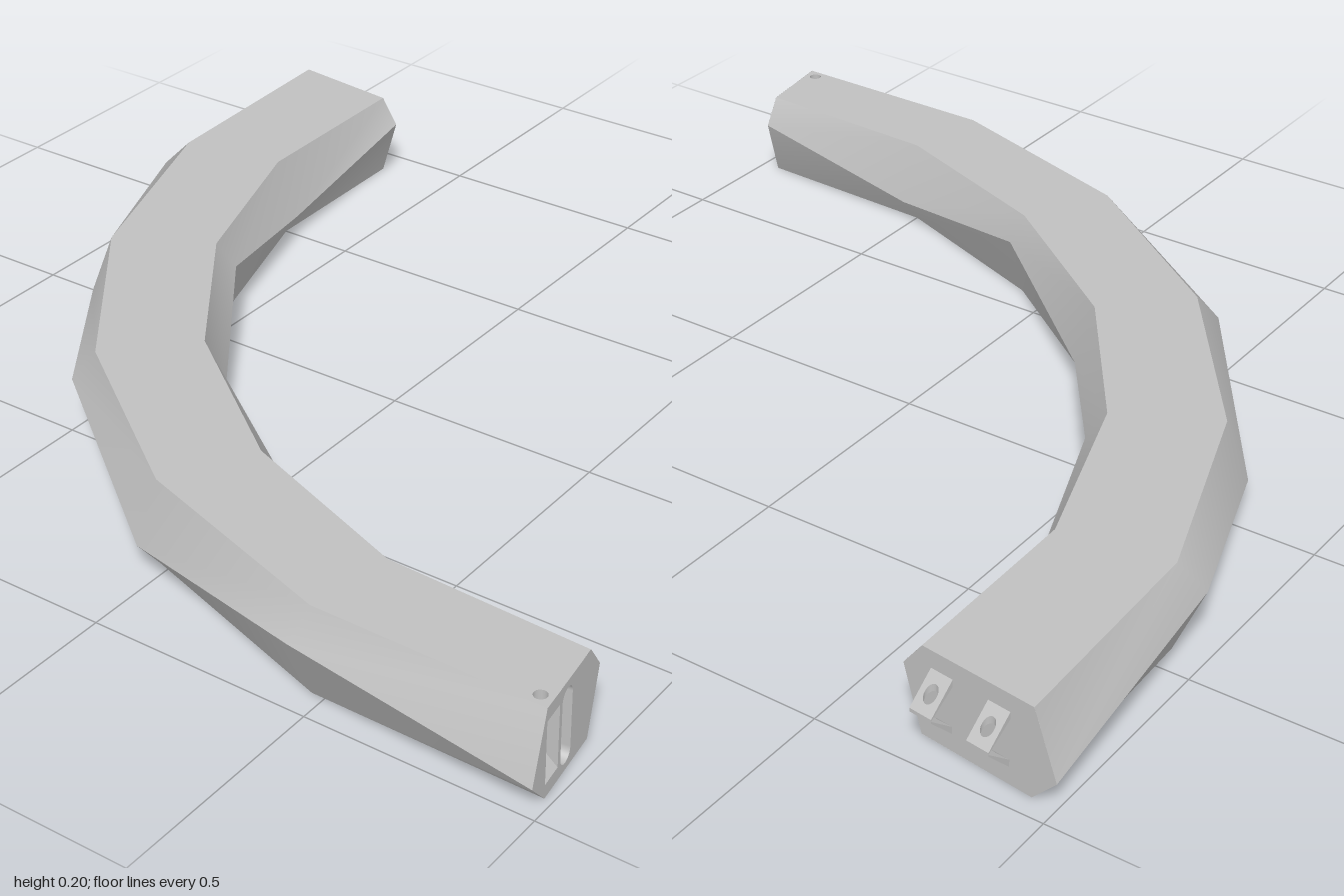
import * as THREE from 'three';

const H = 0.2;
// plan positions [x, z] of seven stations, from the back end round to the front end
const outerMid = [[-1, -0.96], [-0.98, -0.41], [-0.8, 0.08], [-0.48, 0.51], [-0.045, 0.82], [0.456, 0.99], [0.99, 0.995]];
const outerRim = [[-0.945, -0.953], [-0.925, -0.435], [-0.755, 0.055], [-0.445, 0.47], [-0.025, 0.775], [0.47, 0.935], [0.982, 0.94]];
const innerRim = [[-0.685, -0.921], [-0.68, -0.475], [-0.54, -0.06], [-0.285, 0.3], [0.08, 0.575], [0.5, 0.735], [0.956, 0.755]];
const innerMid = [[-0.64, -0.915], [-0.635, -0.49], [-0.505, -0.085], [-0.255, 0.275], [0.095, 0.54], [0.51, 0.69], [0.95, 0.71]];
const pin = { x: 0.952, z: 0.915, r: 0.014 };

export function createModel() {
  const group = new THREE.Group();
  const grey = new THREE.MeshStandardMaterial({ color: 0xc0c0c0, side: THREE.DoubleSide });
  grey.name = 'light grey';

  const add = (name, geometry, parent = group) => {
    const mesh = new THREE.Mesh(geometry, grey);
    mesh.name = name;
    parent.add(mesh);
    return mesh;
  };

  // smooth band between two rows of points
  const strip = (a, b) => {
    const g = new THREE.BufferGeometry().setFromPoints([...a, ...b]);
    const n = a.length, idx = [];
    for (let i = 0; i < n - 1; i++) idx.push(i, n + i, i + 1, n + i, n + i + 1, i + 1);
    g.setIndex(idx);
    g.computeVertexNormals();
    return g;
  };

  // move every vertex of a geometry by a rule
  const remap = (g, rule) => {
    const p = g.attributes.position;
    for (let i = 0; i < p.count; i++) {
      const v = rule(p.getX(i), p.getY(i), p.getZ(i));
      p.setXYZ(i, v.x, v.y, v.z);
    }
    g.computeVertexNormals();
    return g;
  };

  const polygon = (pts) => new THREE.Shape(pts.map(([x, y]) => new THREE.Vector2(x, y)));
  const circle = (x, y, r) => new THREE.Path().absarc(x, y, r, 0, Math.PI * 2, true);
  const rect = (x0, y0, x1, y1) => polygon([[x0, y0], [x1, y0], [x1, y1], [x0, y1]]);

  // faceted sides: the crease zigzags between two heights
  const low = 0.06, high = 0.14;
  const row = (pts, h) => pts.map(([x, z], i) => new THREE.Vector3(x, h(i), z));
  const top = () => H, bottom = () => 0;
  const outerCrease = row(outerMid, (i) => (i % 2 ? high : low));
  const innerCrease = row(innerMid, (i) => (i % 2 ? low : high));
  add('outerUpperSide', strip(row(outerRim, top), outerCrease));
  add('outerLowerSide', strip(outerCrease, row(outerRim, bottom)));
  add('innerUpperSide', strip(innerCrease, row(innerRim, top)));
  add('innerLowerSide', strip(row(innerRim, bottom), innerCrease));

  // flat top and bottom, pierced by the pin hole
  const lid = polygon([...outerRim, ...[...innerRim].reverse()].map(([x, z]) => [x, -z]));
  lid.holes.push(circle(pin.x, -pin.z, pin.r));
  add('topFace', new THREE.ShapeGeometry(lid, 12).rotateX(-Math.PI / 2).translate(0, H, 0));
  const base = polygon([...outerRim, ...[...innerRim].reverse()]);
  base.holes.push(circle(pin.x, pin.z, pin.r));
  add('bottomFace', new THREE.ShapeGeometry(base, 12).rotateX(Math.PI / 2));
  for (const y of [0.0285, H - 0.0285]) {
    const tube = new THREE.CylinderGeometry(pin.r, pin.r, 0.057, 16, 1, true);
    add('pinHoleWall', tube.translate(pin.x, y, pin.z));
  }

  // local frame of an end: u along the face, y up, d into the beam
  const frame = ([px, pz], [qx, qz]) => {
    const len = Math.hypot(qx - px, qz - pz);
    const ux = (qx - px) / len, uz = (qz - pz) / len;
    const at = (u, y, d = 0) => new THREE.Vector3(px + u * ux + d * uz, y, pz + u * uz - d * ux);
    const along = ([x, z]) => (x - px) * ux + (z - pz) * uz;
    return { len, at, along };
  };
  const capShape = (f, rimA, rimB, hA, hB) => {
    const a = f.along(rimA), b = f.along(rimB);
    return polygon([[0, hA], [a, 0], [b, 0], [f.len, hB], [b, H], [a, H]]);
  };

  // front end: V socket for the pinned tab, and a rounded slot
  const fe = frame(outerMid[6], innerMid[6]);
  const frontCap = capShape(fe, outerRim[6], innerRim[6], low, high);
  const sc = 0.083, sw = 0.027, depth = 0.07;
  const slot = new THREE.Shape();
  slot.absarc(0.143, 0.162, 0.022, 0, Math.PI, false);
  slot.absarc(0.143, 0.038, 0.022, Math.PI, Math.PI * 2, false);
  slot.closePath();
  frontCap.holes.push(rect(sc - sw, 0.1 - depth, sc + sw, 0.1 + depth), slot);
  add('frontEndFace', remap(new THREE.ShapeGeometry(frontCap, 12), (u, y) => fe.at(u, y)));

  const socket = new THREE.Group();
  socket.name = 'pinSocket';
  group.add(socket);
  for (const k of [1, -1]) {
    const slope = rect(-sw, 0, sw, depth);
    slope.holes.push(circle(-0.002, 0.027, pin.r));
    add('socketSlope', remap(new THREE.ShapeGeometry(slope, 12),
      (s, t) => fe.at(sc + s, 0.1 + k * (depth - t), t)), socket);
    const cheek = polygon([[0, 0.1 - depth], [depth, 0.1], [0, 0.1 + depth]]);
    add('socketCheek', remap(new THREE.ShapeGeometry(cheek),
      (d, y) => fe.at(sc + k * sw, y, d)), socket);
  }

  const slotLoop = slot.getPoints(12);
  add('slotWall', strip(slotLoop.map((p) => fe.at(p.x, p.y, 0.05)), slotLoop.map((p) => fe.at(p.x, p.y))));
  add('slotFloor', remap(new THREE.ShapeGeometry(slot, 12), (u, y) => fe.at(u, y, 0.05)));

  // back end: plain face with two pierced chevron tabs
  const be = frame(innerMid[0], outerMid[0]);
  const backCap = capShape(be, innerRim[0], outerRim[0], high, low);
  add('backEndFace', remap(new THREE.ShapeGeometry(backCap), (u, y) => be.at(u, y)));
  const reach = 0.057;
  for (const c of [0.228, 0.093]) {
    const tab = new THREE.Group();
    tab.name = 'chevronTab';
    group.add(tab);
    for (const k of [1, -1]) {
      const leg = rect(-0.026, 0, 0.026, reach);
      leg.holes.push(circle(0, 0.029, 0.014));
      const g = new THREE.ExtrudeGeometry(leg, { depth: 0.016, bevelEnabled: false, curveSegments: 12 });
      add('tabLeg', remap(g, (s, t, w) => be.at(c + s, 0.1 + k * Math.max(0, reach + 0.004 - t - w), -t)), tab);
    }
  }
  return group;
}
